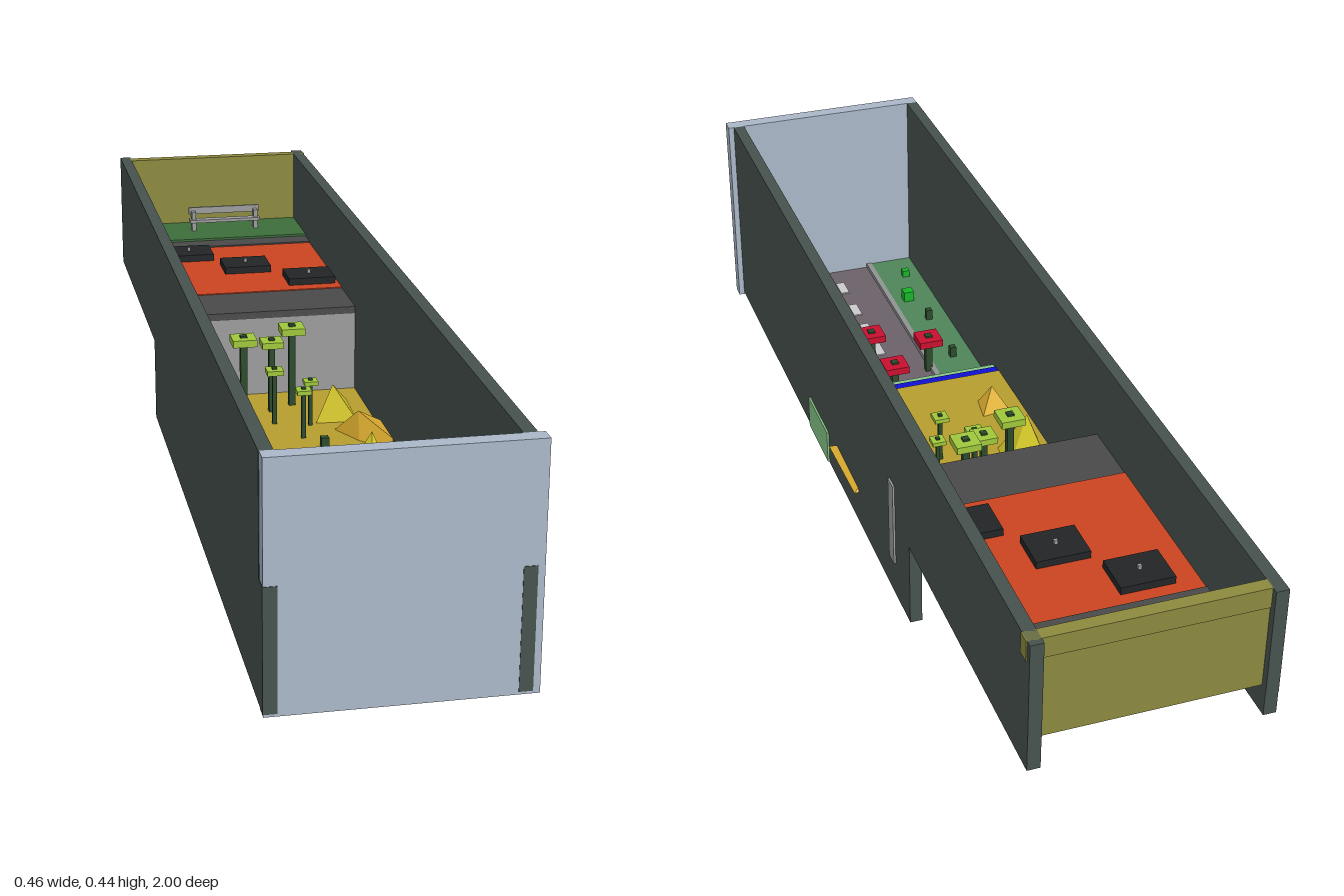
import * as THREE from 'three';

const mat = (color) => new THREE.MeshStandardMaterial({ color, flatShading: true, side: THREE.DoubleSide });
const M = {
  wall: mat(0x46524f), plate: mat(0xabb8c9), olive: mat(0x8c8a3e), grass: mat(0x4f8558), lawn: mat(0x3e6e3c),
  road: mat(0x6c626a), curb: mat(0x8f9391), dash: mat(0xc4c0c4), blue: mat(0x1010d0), mint: mat(0x88c888),
  sand: mat(0xb89e30), rock: mat(0xd4c828), amber: mat(0xe0b030), grey: mat(0x9c9c9c), dark: mat(0x4a4a4a),
  orange: mat(0xcc4420), black: mat(0x222426), lime: mat(0xa0c83c), leaf: mat(0x18b428), trunk: mat(0x2c4a2c),
  red: mat(0xc81030),
};

export function createModel() {
  const model = new THREE.Group();

  // Box given by its limits on each axis
  function box(name, material, x0, x1, y0, y1, z0, z1) {
    const mesh = new THREE.Mesh(new THREE.BoxGeometry(x1 - x0, y1 - y0, z1 - z0), material);
    mesh.position.set((x0 + x1) / 2, (y0 + y1) / 2, (z0 + z1) / 2);
    mesh.name = name;
    model.add(mesh);
    return mesh;
  }

  // Box standing on y0, centred on x, z
  const block = (name, material, x, z, w, d, y0, y1) =>
    box(name, material, x - w / 2, x + w / 2, y0, y1, z - d / 2, z + d / 2);

  // Side walls: stepped lower part, upper part and top rail
  for (const [side, x0, x1] of [['right', -0.232, -0.208], ['left', 0.188, 0.212]]) {
    const s = new THREE.Shape();
    [[-1, 0.185], [-0.37, 0.185], [-0.37, 0.008], [1, 0.008], [1, 0.23], [-1, 0.23]]
      .forEach(([z, y], i) => (i ? s.lineTo(-z, y) : s.moveTo(-z, y)));
    const lower = new THREE.Mesh(
      new THREE.ExtrudeGeometry(s, { depth: x1 - x0, bevelEnabled: false }), M.wall);
    lower.rotation.y = Math.PI / 2;
    lower.position.x = x0;
    lower.position.z = 0.001;
    lower.name = side + 'LowerWall';
    model.add(lower);
    box(side + 'UpperWall', M.wall, x0, x1, 0.23, 0.405, -1, 0.97);
    box(side + 'TopRail', M.wall, x0, x1, 0.405, 0.445, -1, 0.97);
  }

  // End panels
  box('frontPanel', M.plate, -0.231, 0.224, 0.003, 0.445, 0.97, 1);
  box('backPanel', M.olive, -0.21, 0.19, 0.24, 0.405, -0.985, -0.965);
  box('backPanelRail', M.olive, -0.21, 0.214, 0.405, 0.445, -0.988, -0.963);

  // Road section
  const L = -0.209, R = 0.189;
  box('roadBase', M.road, L, R, 0.01, 0.022, 0.345, 0.97);
  box('rightVerge', M.grass, L, -0.11, 0.02, 0.03, 0.345, 0.97);
  box('leftVerge', M.grass, 0.1, R, 0.02, 0.03, 0.345, 0.97);
  box('rightCurb', M.curb, -0.11, -0.098, 0.02, 0.032, 0.345, 0.97);
  box('leftCurb', M.curb, 0.088, 0.1, 0.02, 0.032, 0.345, 0.97);
  for (const z of [0.49, 0.585, 0.68, 0.775, 0.885]) block('roadDash', M.dash, -0.012, z, 0.02, 0.05, 0.02, 0.025);

  // Bank, water strip and sandy middle floor
  box('bank', M.mint, L, 0.216, 0.01, 0.083, 0.2, 0.348);
  box('waterStrip', M.blue, L, R, 0.083, 0.087, 0.31, 0.332);
  box('sandFloor', M.sand, L, R, 0.075, 0.09, -0.26, 0.31);

  // Riser and raised rear floors
  box('riser', M.grey, L, 0.216, 0.085, 0.265, -0.28, -0.25);
  box('frontLanding', M.dark, L, R, 0.26, 0.275, -0.39, -0.25);
  box('orangeFloor', M.orange, L, R, 0.255, 0.277, -0.76, -0.39);
  box('rearLanding', M.dark, L, R, 0.255, 0.28, -0.81, -0.76);
  box('rearLawn', M.lawn, L, R, 0.245, 0.285, -0.965, -0.81);

  // Black hatches with a small pin
  for (const [x, z] of [[-0.11, -0.69], [0.003, -0.575], [0.128, -0.463]]) {
    block('hatch', M.black, x, z, 0.104, 0.083, 0.235, 0.292);
    block('hatchPin', M.grey, x, z, 0.007, 0.007, 0.29, 0.3);
  }

  // Bench on the rear lawn
  block('benchSeat', M.grey, 0.005, -0.89, 0.17, 0.02, 0.305, 0.312);
  block('benchBack', M.grey, 0.005, -0.905, 0.17, 0.006, 0.322, 0.338);
  for (const x of [-0.07, 0.08]) block('benchLeg', M.grey, x, -0.897, 0.01, 0.024, 0.285, 0.33);

  // Trees: thin trunk through a square crown
  function tree(name, crown, x, z, size, ground, top) {
    block(name + 'Trunk', M.trunk, x, z, size * 0.28, size * 0.28, ground, top + 0.004);
    block(name + 'Crown', crown, x, z, size, size, top - size * 0.3, top);
  }
  for (const [x, z, s] of [[-0.077, -0.117, 0.05], [-0.014, -0.14, 0.045], [0.035, -0.173, 0.05],
    [-0.021, -0.067, 0.034], [0.05, -0.045, 0.028], [0.022, 0.025, 0.03]])
    tree('desertTree', M.lime, x, z, s, 0.09, 0.09 + s * 3.5);
  for (const [x, z] of [[0.055, 0.08], [0.06, 0.14]]) block('stump', M.trunk, x, z, 0.016, 0.016, 0.08, 0.11);
  for (const [x, z] of [[-0.095, 0.467], [0.01, 0.382], [0.021, 0.525]]) tree('redPost', M.red, x, z, 0.053, 0.02, 0.11);

  // Bushes and posts on the verges
  for (const [x, z, s] of [[0.139, 0.53, 0.027], [0.145, 0.637, 0.014], [-0.145, 0.58, 0.014],
    [-0.143, 0.775, 0.024], [0.145, 0.833, 0.03], [-0.172, 0.887, 0.016]])
    block('bush', M.leaf, x, z, s, s, 0.03, 0.03 + s);
  for (const [x, z] of [[-0.162, 0.495], [-0.162, 0.672], [0.165, 0.718]])
    block('vergePost', M.trunk, x, z, 0.014, 0.014, 0.03, 0.055);

  // Rocks: a base outline joined to an apex
  function rock(material, apex, outline) {
    const pos = [];
    outline.forEach(([x, z], i) => {
      const [nx, nz] = outline[(i + 1) % outline.length];
      pos.push(x, 0.083, z, nx, 0.083, nz, ...apex);
    });
    const g = new THREE.BufferGeometry();
    g.setAttribute('position', new THREE.Float32BufferAttribute(pos, 3));
    g.computeVertexNormals();
    const mesh = new THREE.Mesh(g, material);
    mesh.name = 'rock';
    model.add(mesh);
  }
  rock(M.rock, [-0.15, 0.19, -0.02], [[-0.17, -0.18], [-0.195, 0.01], [-0.1, 0.025], [-0.095, -0.06]]);
  rock(M.rock, [0.1, 0.17, -0.06], [[0.16, -0.195], [0.06, -0.05], [0.155, -0.045]]);
  rock(M.amber, [0.13, 0.15, 0.05], [[0.09, -0.015], [0.222, -0.03], [0.225, 0.15], [0.13, 0.065]]);
  rock(M.amber, [-0.145, 0.14, 0.18], [[-0.18, 0.15], [-0.11, 0.14], [-0.12, 0.21], [-0.165, 0.21]]);
  rock(M.rock, [0.12, 0.17, 0.22], [[0.11, 0.13], [0.075, 0.2], [0.11, 0.265], [0.155, 0.245], [0.16, 0.13]]);

  return model;
}
